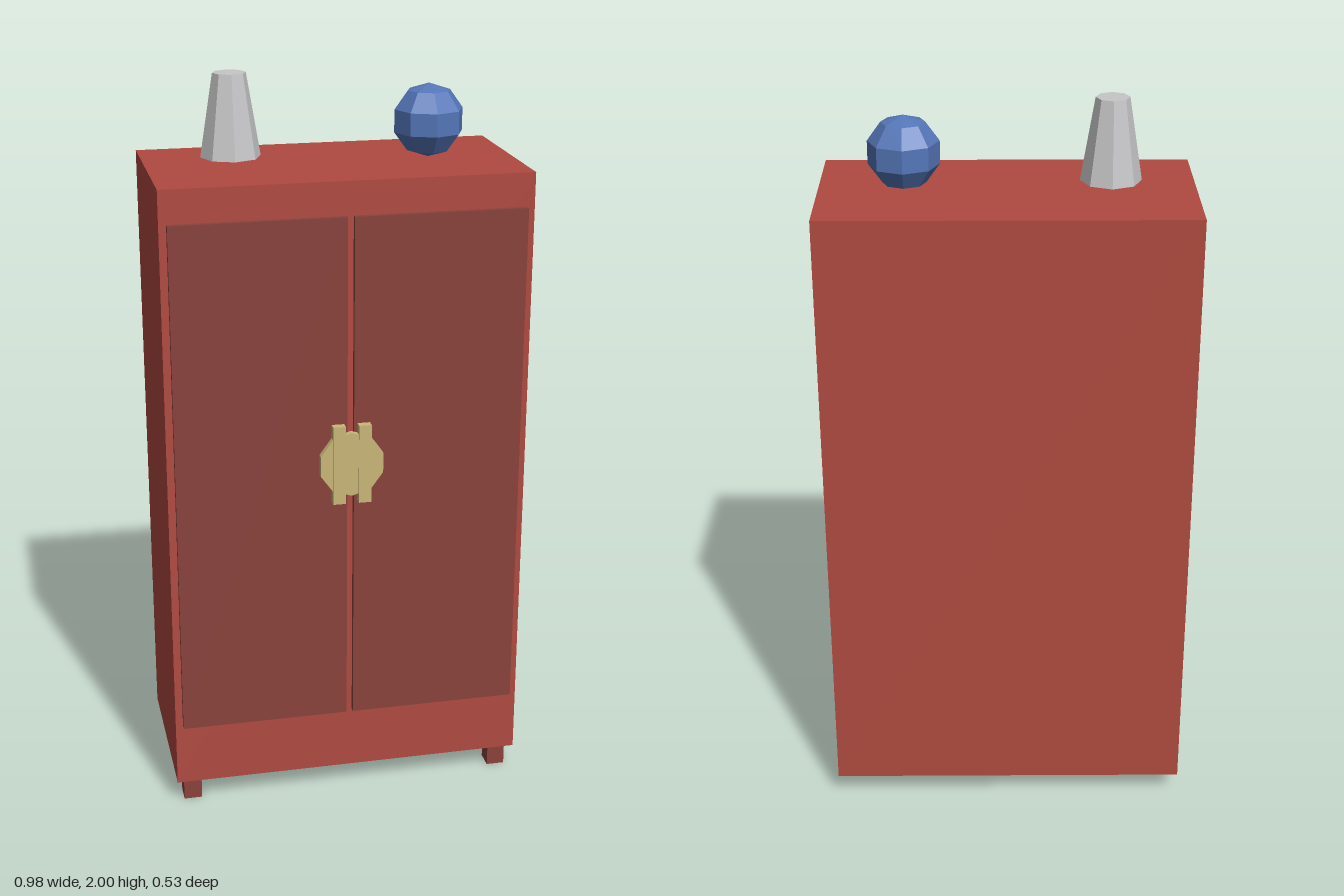
import * as THREE from 'three';

const mat = (name, color) => {
  const m = new THREE.MeshStandardMaterial({ color });
  m.name = name;
  return m;
};

// flat-shaded facets come from unshared vertices with face normals
const faceted = (geometry) => {
  const g = geometry.index ? geometry.toNonIndexed() : geometry;
  g.computeVertexNormals();
  return g;
};

export function createModel() {
  const model = new THREE.Group();
  model.name = 'cabinet';

  const red = mat('red lacquer', 0xb04a40);
  const darkRed = mat('dark red wood', 0x8a423c);
  const brass = mat('brass', 0xcab878);
  const grey = mat('light grey', 0xc6c6c8);
  const blue = mat('blue', 0x5476b8);

  const add = (name, geometry, material, x, y, z) => {
    const mesh = new THREE.Mesh(geometry, material);
    mesh.name = name;
    mesh.position.set(x, y, z);
    model.add(mesh);
    return mesh;
  };

  // box given by its extents
  const box = (name, material, [x0, x1], [y0, y1], [z0, z1]) =>
    add(name, new THREE.BoxGeometry(x1 - x0, y1 - y0, z1 - z0), material,
      (x0 + x1) / 2, (y0 + y1) / 2, (z0 + z1) / 2);

  box('body', red, [-0.49, 0.49], [0.067, 1.758], [-0.264, 0.225]);

  // paired parts: front legs, doors and handle bars
  for (const [side, s] of [['left', 1], ['right', -1]]) {
    const span = (a, b) => (s > 0 ? [a, b] : [-b, -a]);
    box(side + 'Leg', darkRed, span(0.42, 0.47), [0, 0.067], [0.153, 0.205]);
    box(side + 'Door', darkRed, span(0.009, 0.47), [0.245, 1.668], [0.225, 0.24]);
    box(side + 'HandleBar', brass, span(0.018, 0.052), [0.89, 1.11], [0.24, 0.262]);
  }

  // ten-sided lock plate, one corner pointing up
  const plate = new THREE.CylinderGeometry(0.0895, 0.0895, 0.018, 10);
  plate.rotateX(Math.PI / 2);
  plate.rotateZ(Math.PI);
  add('lockPlate', faceted(plate), brass, 0, 1.0, 0.249);

  // ornaments on top
  add('vase', faceted(new THREE.CylinderGeometry(0.044, 0.08, 0.218, 8)), grey, -0.267, 1.891, -0.02);
  add('ball', faceted(new THREE.SphereGeometry(0.098, 8, 5)), blue, 0.266, 1.857, -0.02);

  return model;
}
